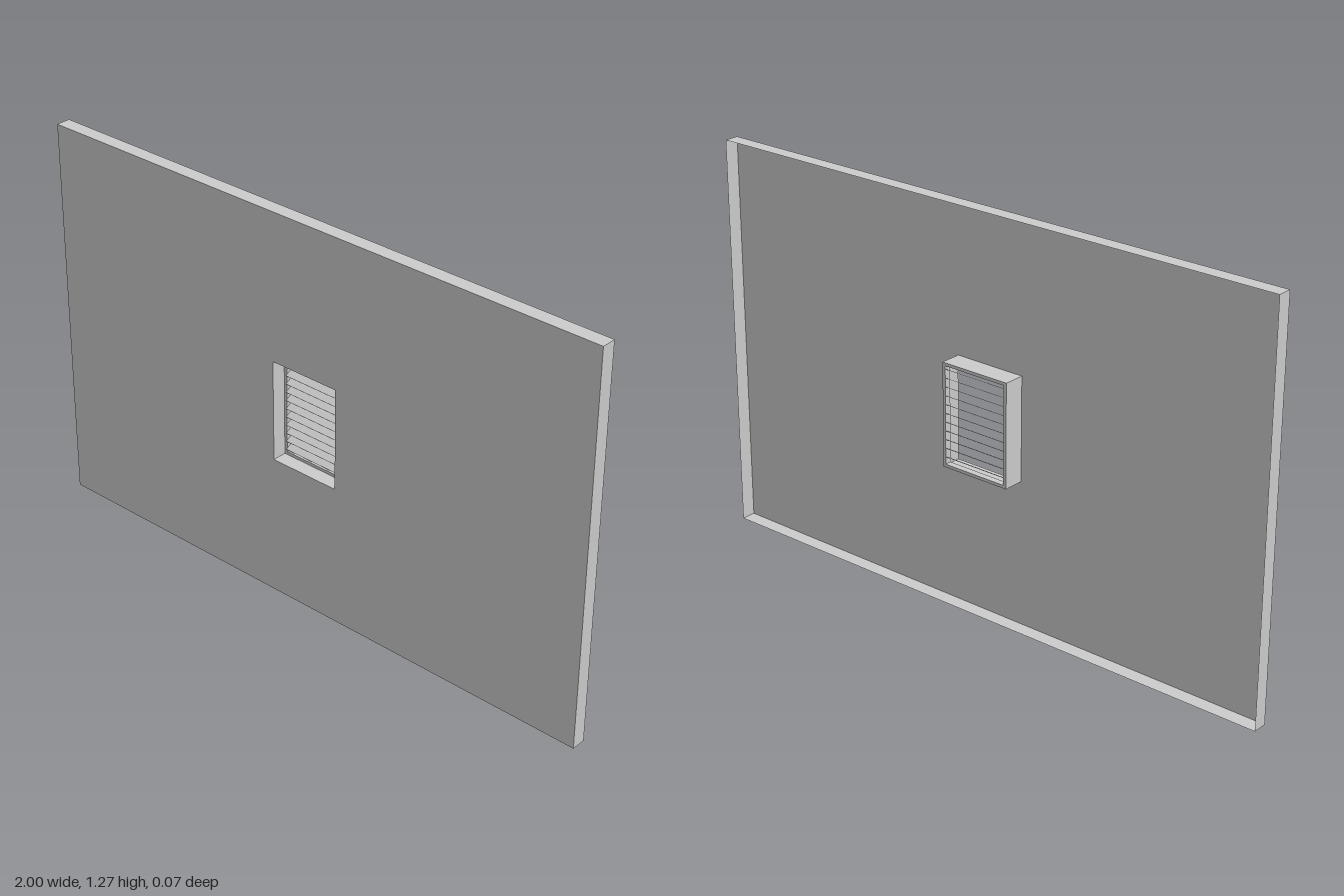
import * as THREE from 'three';

const material = new THREE.MeshStandardMaterial({ color: 0xcccccc, side: THREE.DoubleSide, flatShading: true });

// Main dimensions
const WALL = { x0: -1, x1: 1, y0: 0, y1: 1.275 };
const VENT = { x0: -0.127, x1: 0.112, y0: 0.466, y1: 0.797 };
const Z_FRONT = 0.034, Z_RIM = -0.013, Z_BACK = -0.034;
const LIP = 0.01;

const inset = (r, d) => ({ x0: r.x0 + d, x1: r.x1 - d, y0: r.y0 + d, y1: r.y1 - d });

function trace(path, r) {
  path.moveTo(r.x0, r.y0);
  path.lineTo(r.x1, r.y0);
  path.lineTo(r.x1, r.y1);
  path.lineTo(r.x0, r.y1);
  path.closePath();
  return path;
}

function ringShape(outer, inner) {
  const shape = trace(new THREE.Shape(), outer);
  shape.holes.push(trace(new THREE.Path(), inner));
  return shape;
}

// Four thin sheets running round a rectangle from z0 to z1
function sleeve(name, r, z0, z1) {
  const group = new THREE.Group();
  group.name = name;
  const w = r.x1 - r.x0, h = r.y1 - r.y0, d = z1 - z0;
  const cx = (r.x0 + r.x1) / 2, cy = (r.y0 + r.y1) / 2, cz = (z0 + z1) / 2;
  for (const s of [-1, 1]) {
    const level = new THREE.Mesh(new THREE.PlaneGeometry(w, d).rotateX(-s * Math.PI / 2), material);
    level.position.set(cx, cy + s * h / 2, cz);
    level.name = s > 0 ? 'topSheet' : 'bottomSheet';
    const side = new THREE.Mesh(new THREE.PlaneGeometry(d, h).rotateY(s * Math.PI / 2), material);
    side.position.set(cx + s * w / 2, cy, cz);
    side.name = s > 0 ? 'leftSheet' : 'rightSheet';
    group.add(level, side);
  }
  return group;
}

export function createModel() {
  const model = new THREE.Group();
  model.name = 'ventedWallPanel';

  // Front sheet with the vent opening, and its folded-back rim
  const panel = new THREE.Mesh(new THREE.ShapeGeometry(ringShape(WALL, VENT)), material);
  panel.name = 'frontPanel';
  panel.position.z = Z_FRONT;
  model.add(panel, sleeve('panelRim', WALL, Z_RIM, Z_FRONT));

  // Duct behind the opening
  model.add(sleeve('ventDuct', VENT, Z_RIM, Z_FRONT));

  // Frame at the back of the duct
  const opening = inset(VENT, LIP);
  const frame = new THREE.Mesh(
    new THREE.ExtrudeGeometry(ringShape(VENT, opening), { depth: Z_RIM - Z_BACK, bevelEnabled: false }),
    material
  );
  frame.name = 'ventFrame';
  frame.position.z = Z_BACK;
  model.add(frame);

  // Louvre slats, high at the back and low at the front
  const louvres = new THREE.Group();
  louvres.name = 'louvres';
  const count = 11, pitch = 0.0278, run = 0.025, rise = 0.014;
  const slatGeometry = new THREE.BoxGeometry(opening.x1 - opening.x0, 0.001, Math.hypot(run, rise));
  for (let i = 0; i < count; i++) {
    const slat = new THREE.Mesh(slatGeometry, material);
    slat.name = 'slat';
    slat.position.set(
      (opening.x0 + opening.x1) / 2,
      (opening.y0 + opening.y1) / 2 + (i - (count - 1) / 2) * pitch,
      Z_BACK + run / 2
    );
    slat.rotation.x = Math.atan2(rise, run);
    louvres.add(slat);
  }
  model.add(louvres);

  return model;
}
